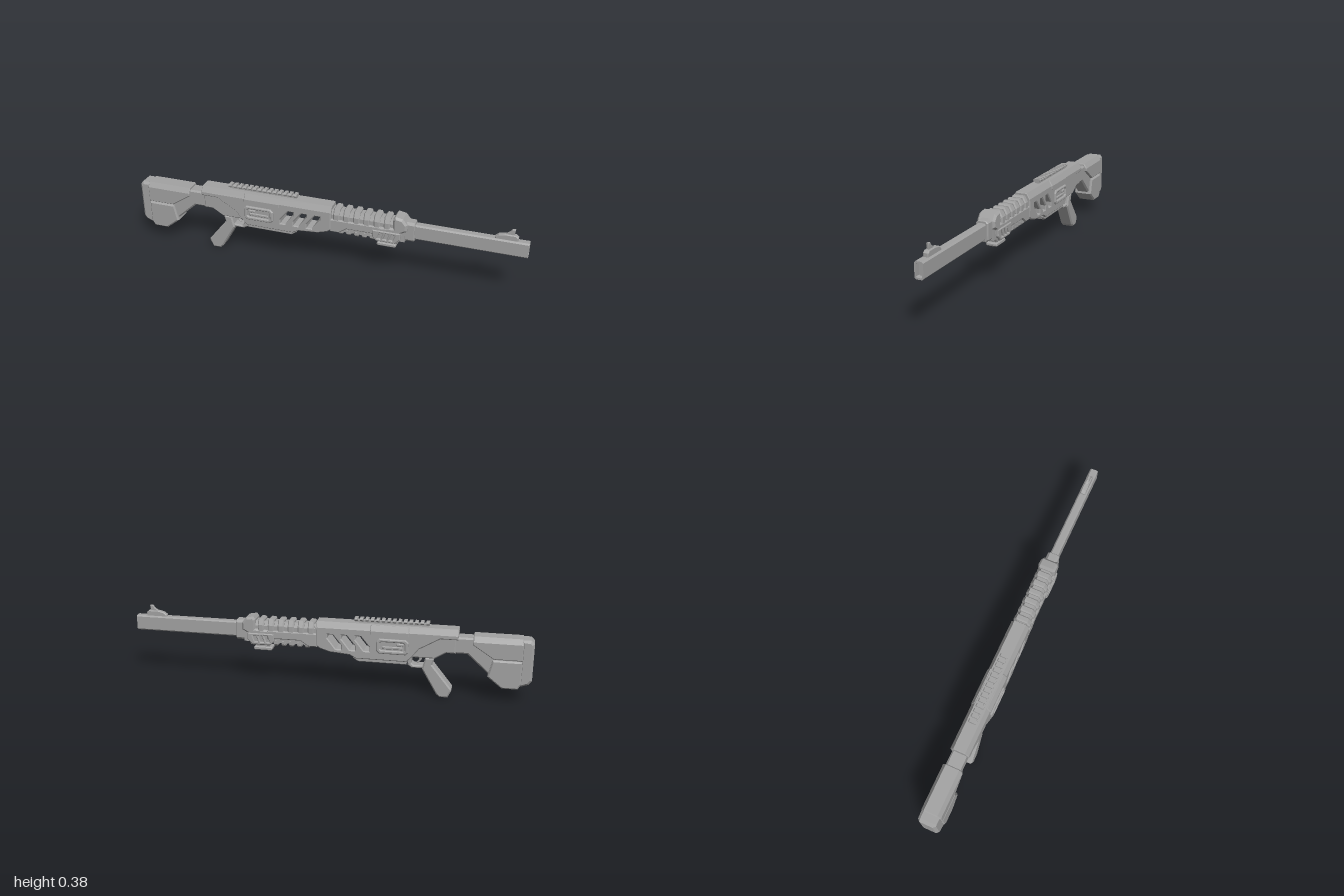
import * as THREE from 'three';

const metal = new THREE.MeshStandardMaterial({ color: 0xa2a2a2 });
metal.name = 'grey metal';

// Outline from [x, y] pairs, with optional holes
function outline(points, holes = []) {
  const toVectors = list => list.map(p => new THREE.Vector2(p[0], p[1]));
  const shape = new THREE.Shape(toVectors(points));
  holes.forEach(h => shape.holes.push(new THREE.Path(toVectors(h))));
  return shape;
}

// Rectangle with cut corners
function cutRect(x0, x1, y0, y1, c) {
  return [[x0 + c, y0], [x1 - c, y0], [x1, y0 + c], [x1, y1 - c],
    [x1 - c, y1], [x0 + c, y1], [x0, y1 - c], [x0, y0 + c]];
}

export function createModel() {
  const model = new THREE.Group();
  model.name = 'rifle';

  const add = (name, geometry) => {
    const mesh = new THREE.Mesh(geometry, metal);
    mesh.name = name;
    model.add(mesh);
    return mesh;
  };

  // Side profile, chamfered, reaching from -half to +half in z
  const slab = (name, points, half, bevel = 0.006, holes = []) => {
    const g = new THREE.ExtrudeGeometry(outline(points, holes), {
      depth: 2 * (half - bevel), bevelEnabled: bevel > 0, bevelThickness: bevel,
      bevelSize: bevel, bevelOffset: -bevel, bevelSegments: 1,
    });
    g.translate(0, 0, -(half - bevel));
    return add(name, g);
  };

  // Symmetric [z, y] section swept along x, with chamfered ends
  const sweep = (name, section, x0, x1, bevel = 0, holes = []) => {
    const g = new THREE.ExtrudeGeometry(outline(section, holes), {
      depth: x1 - x0 - 2 * bevel, bevelEnabled: bevel > 0, bevelThickness: bevel,
      bevelSize: bevel, bevelOffset: -bevel, bevelSegments: 1,
    });
    g.rotateY(Math.PI / 2);
    g.translate(x0 + bevel, 0, 0);
    return add(name, g);
  };

  // Roof-like section: full width at the bottom, narrower at the top
  const roof = (w, top, y0, yMid, y1) =>
    [[-w, y0], [w, y0], [w, yMid], [top, y1], [-top, y1], [-w, yMid]];

  // Stock
  slab('buttPlate', [[-1, 0.12], [-0.985, 0.1], [-0.94, 0.085], [-0.94, 0.322], [-0.985, 0.322], [-1, 0.305]], 0.045, 0.012);
  slab('stockCore', [[-0.95, 0.1], [-0.93, 0.08], [-0.86, 0.08], [-0.69, 0.233], [-0.58, 0.233],
    [-0.58, 0.315], [-0.95, 0.315]], 0.037, 0.008);
  slab('stockLowerPanel', [[-0.95, 0.1], [-0.935, 0.075], [-0.86, 0.075], [-0.79, 0.13], [-0.81, 0.215], [-0.95, 0.215]], 0.05, 0.007);
  slab('stockCheekShell', [[-0.95, 0.22], [-0.815, 0.22], [-0.715, 0.285], [-0.715, 0.295], [-0.95, 0.295]], 0.05, 0.004);
  sweep('stockTop', roof(0.05, 0.034, 0.29, 0.3, 0.326), -0.95, -0.715, 0.004);

  // Receiver with three slanted openings on each side
  const slot = [[-0.217, 0.217], [-0.19, 0.217], [-0.147, 0.272], [-0.147, 0.29], [-0.174, 0.29], [-0.217, 0.238]];
  const slots = [0, 1, 2].map(i => slot.map(p => [p[0] + i * 0.07, p[1]]));
  slab('receiverRear', [[-0.635, 0.233], [-0.59, 0.233], [-0.535, 0.2], [-0.4, 0.2], [-0.4, 0.32], [-0.635, 0.32]], 0.041, 0.006);
  slab('receiverBody', [[-0.645, 0.303], [-0.56, 0.303], [-0.46, 0.245], [-0.425, 0.2], [-0.4, 0.175], [-0.15, 0.175],
    [-0.12, 0.192], [-0.02, 0.2], [0.03, 0.215], [0.05, 0.23], [0.05, 0.322], [-0.645, 0.322]], 0.047, 0.005, slots);
  sweep('receiverTop', roof(0.047, 0.03, 0.312, 0.322, 0.352), -0.645, 0.05, 0.003);

  // Under-receiver rails with a recessed middle
  slab('lowerRecess', [[-0.4, 0.165], [-0.15, 0.165], [-0.14, 0.19], [-0.4, 0.19]], 0.022, 0);
  for (const s of [1, -1]) {
    slab('lowerRail', [[-0.4, 0.158], [-0.16, 0.158], [-0.135, 0.175], [-0.135, 0.186], [-0.4, 0.186]], 0.009, 0.004).position.z = s * 0.029;
  }
  for (const x of [-0.4, -0.185]) slab('lowerRailCap', cutRect(x, x + 0.03, 0.158, 0.186, 0.003), 0.034, 0.003);

  // Ejection port frame and bolt on both sides
  slab('portFrame', cutRect(-0.41, -0.252, 0.212, 0.288, 0.014), 0.056, 0.005, [cutRect(-0.39, -0.27, 0.23, 0.272, 0.006)]);
  slab('portBolt', cutRect(-0.38, -0.28, 0.236, 0.25, 0.003), 0.053, 0.003);
  slab('portHandle', cutRect(-0.385, -0.35, 0.255, 0.268, 0.003), 0.054, 0.003);
  sweep('topCover', roof(0.051, 0.035, 0.304, 0.322, 0.35), -0.41, -0.22, 0.004);

  // Toothed top rail
  slab('railBase', cutRect(-0.5, -0.14, 0.345, 0.364, 0.002), 0.011, 0);
  const tooth = [[-0.011, 0.358], [0.011, 0.358], [0.02, 0.366], [0.02, 0.37], [0.015, 0.375],
    [-0.015, 0.375], [-0.02, 0.37], [-0.02, 0.366]];
  for (let i = 0; i < 14; i++) {
    const x = -0.503 + i * 0.0269;
    sweep('railTooth', tooth, x, x + 0.016);
  }

  // Grip, trigger guard and trigger
  slab('grip', [[-0.605, 0], [-0.565, 0], [-0.548, 0.015], [-0.475, 0.14], [-0.49, 0.2], [-0.535, 0.2],
    [-0.525, 0.165], [-0.622, 0.045], [-0.622, 0.035]], 0.035, 0.007);
  slab('triggerGuard', [[-0.53, 0.215], [-0.515, 0.155], [-0.49, 0.142], [-0.425, 0.142], [-0.405, 0.155], [-0.395, 0.215]], 0.03, 0.005,
    [[[-0.505, 0.198], [-0.485, 0.158], [-0.435, 0.155], [-0.423, 0.165], [-0.423, 0.193], [-0.43, 0.2]]]);
  slab('trigger', [[-0.475, 0.205], [-0.455, 0.205], [-0.459, 0.18], [-0.445, 0.163], [-0.454, 0.162], [-0.47, 0.178]], 0.009, 0.002);

  // Handguard: core, upper and lower ribs, side bars
  sweep('handguardCore', roof(0.036, 0.024, 0.225, 0.31, 0.332), 0.04, 0.42);
  for (let i = 0; i < 6; i++) {
    const x = 0.06 + i * 0.051;
    sweep('upperRib', roof(0.044, 0.029, 0.285, 0.315, 0.345), x, x + 0.032, 0.006);
  }
  for (let i = 0; i < 5; i++) {
    const x = 0.085 + i * 0.04;
    sweep('lowerRib', cutRect(-0.037, 0.037, 0.208, 0.245, 0.01), x, x + 0.024, 0.004);
  }
  slab('handguardBar', [[0.045, 0.22], [0.09, 0.22], [0.13, 0.247], [0.3, 0.247], [0.3, 0.289], [0.045, 0.289]], 0.046, 0.005);
  slab('handguardNose', [[0.28, 0.262], [0.39, 0.262], [0.43, 0.285], [0.43, 0.32], [0.408, 0.348], [0.37, 0.355],
    [0.36, 0.34], [0.36, 0.295], [0.28, 0.289]], 0.045, 0.01);
  slab('noseLower', [[0.27, 0.235], [0.29, 0.208], [0.385, 0.208], [0.405, 0.25], [0.405, 0.28], [0.27, 0.28]], 0.04, 0.006);
  const vents = [0, 1, 2].map(i => [[0.285, 0.228], [0.303, 0.228], [0.315, 0.26], [0.297, 0.26]].map(p => [p[0] + i * 0.03, p[1]]));
  slab('ventPanel', [[0.262, 0.235], [0.28, 0.214], [0.375, 0.214], [0.4, 0.24], [0.4, 0.272], [0.262, 0.272]], 0.05, 0.004, vents);
  slab('footStem', cutRect(0.295, 0.36, 0.19, 0.22, 0.002), 0.018, 0);
  slab('foot', cutRect(0.28, 0.375, 0.178, 0.196, 0.005), 0.028, 0.004);

  // Barrel with collar, open muzzle and front sight
  sweep('barrelCollar', cutRect(-0.031, 0.031, 0.228, 0.33, 0.012), 0.405, 0.465, 0.004);
  sweep('barrel', cutRect(-0.021, 0.021, 0.24, 0.318, 0.007), 0.45, 0.975);
  sweep('muzzle', cutRect(-0.021, 0.021, 0.24, 0.318, 0.007), 0.975, 1, 0, [cutRect(-0.014, 0.014, 0.248, 0.31, 0.004)]);
  slab('sightBase', [[0.84, 0.312], [0.84, 0.325], [0.855, 0.338], [0.885, 0.345], [0.935, 0.345], [0.947, 0.335], [0.947, 0.312]], 0.013, 0.004);
  slab('sightBlade', [[0.88, 0.34], [0.905, 0.358], [0.915, 0.372], [0.93, 0.372], [0.926, 0.34]], 0.006, 0.002);

  return model;
}
